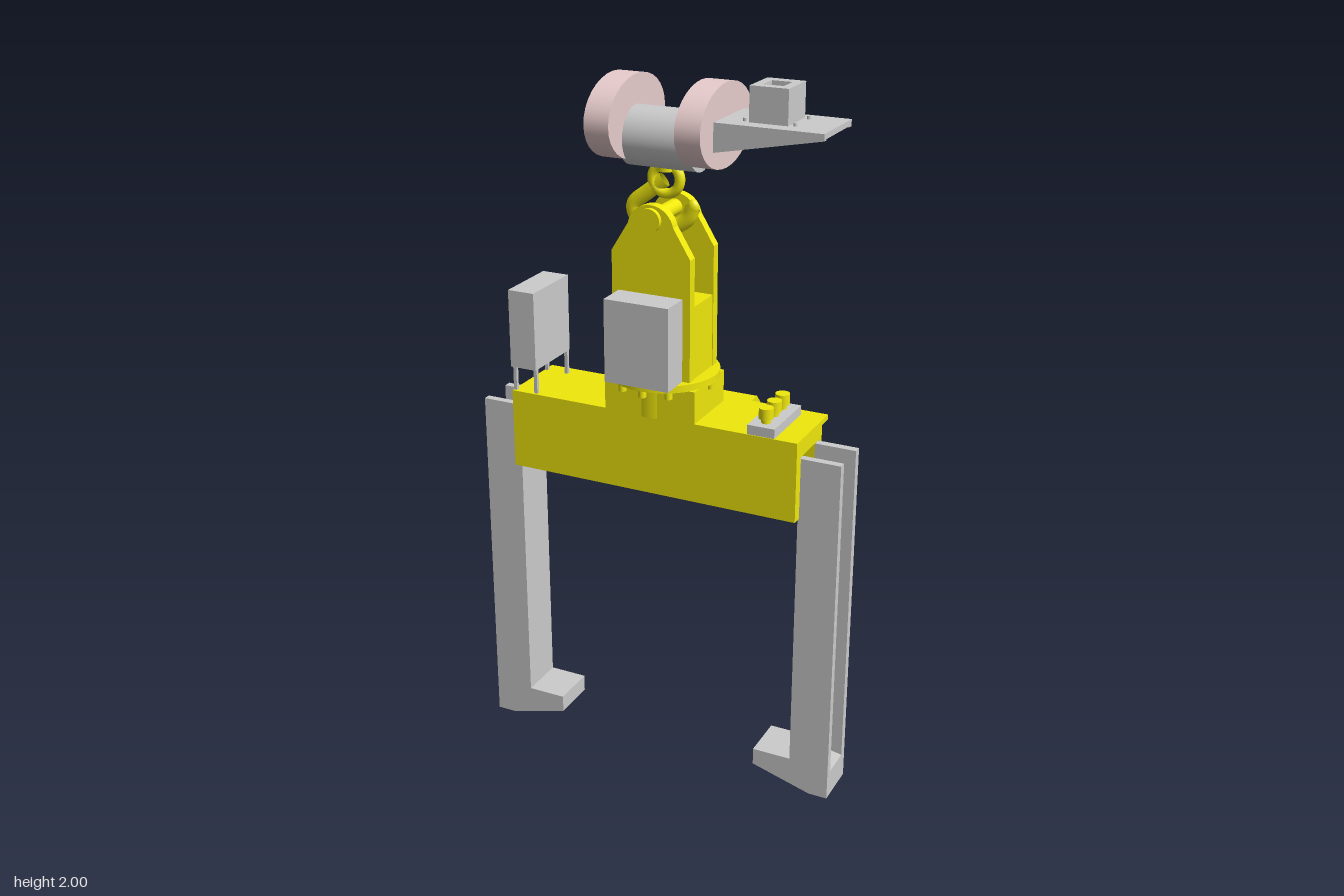
import * as THREE from 'three';

const mat = (color) => new THREE.MeshStandardMaterial({ color, side: THREE.DoubleSide });
const grey = mat(0xcccccc), yellow = mat(0xf0e80c), pink = mat(0xe8cccc), teal = mat(0x00d8e0);

export function createModel() {
  const root = new THREE.Group();

  const add = (name, geo, material, parent = root) => {
    const m = new THREE.Mesh(geo, material);
    m.name = name;
    parent.add(m);
    return m;
  };
  // box given by its extents
  const box = (name, x0, x1, y0, y1, z0, z1, material, parent) => {
    const g = new THREE.BoxGeometry(x1 - x0, y1 - y0, z1 - z0);
    g.translate((x0 + x1) / 2, (y0 + y1) / 2, (z0 + z1) / 2);
    return add(name, g, material, parent);
  };
  // cylinder centred on a point, along an axis
  const cyl = (name, r, len, axis, x, y, z, material, parent) => {
    const g = new THREE.CylinderGeometry(r, r, len, 32);
    if (axis === 'x') g.rotateZ(Math.PI / 2);
    if (axis === 'z') g.rotateX(Math.PI / 2);
    g.translate(x, y, z);
    return add(name, g, material, parent);
  };
  // outline in x, y extruded from z0 to z1
  const slab = (name, shape, z0, z1, material, parent) => {
    const g = new THREE.ExtrudeGeometry(shape, { depth: z1 - z0, bevelEnabled: false, curveSegments: 20 });
    g.translate(0, 0, z0);
    return add(name, g, material, parent);
  };
  const poly = (pts) => new THREE.Shape(pts.map(([x, y]) => new THREE.Vector2(x, y)));

  // Gripping legs: channels open outwards, with a toe turned inwards
  for (const s of [-1, 1]) {
    const leg = new THREE.Group();
    leg.name = s > 0 ? 'leftLeg' : 'rightLeg';
    root.add(leg);
    const mx = (pts) => poly(pts.map(([x, y]) => [s * x, y]));
    slab('toe', mx([[0.545, 0], [0.49, 0], [0.315, 0.05], [0.315, 0.1], [0.43, 0.1], [0.545, 0.08]]), -0.035, 0.1, grey, leg);
    const side = mx([[0.545, 0.05], [0.428, 0.05], [0.428, 1.04], [0.545, 1.04]]);
    slab('legFlange', side, -0.035, -0.012, grey, leg);
    slab('legFlange', side, 0.078, 0.1, grey, leg);
    slab('legWeb', mx([[0.428, 0.05], [0.47, 0.05], [0.47, 0.895], [0.428, 0.895]]), -0.012, 0.078, grey, leg);
  }

  // Cross beam: open below and at the ends, channel-shaped at the back
  const beam = new THREE.Group();
  beam.name = 'crossBeam';
  root.add(beam);
  box('beamFront', -0.432, 0.432, 0.865, 1.095, 0.1, 0.13, yellow, beam);
  box('beamTop', -0.432, 0.432, 1.045, 1.095, -0.035, 0.1, yellow, beam);
  box('beamBackWeb', -0.432, 0.432, 0.865, 1.095, -0.05, -0.035, yellow, beam);
  box('beamBackUpperFlange', -0.432, 0.432, 1.08, 1.095, -0.093, -0.05, yellow, beam);
  box('beamBackLowerFlange', -0.432, 0.432, 0.865, 0.88, -0.093, -0.05, yellow, beam);
  box('beamBackPlate', -0.432, -0.28, 0.88, 1.08, -0.091, -0.05, yellow, beam);

  // Drive housing behind the beam, chamfered along its outer edges
  const housing = new THREE.ExtrudeGeometry(poly([
    [0.05, 0.88], [0.165, 0.88], [0.205, 0.92], [0.205, 1.04], [0.168, 1.08], [0.05, 1.08],
  ]), { depth: 0.26, bevelEnabled: false });
  housing.rotateY(Math.PI / 2); // outline x becomes -z, depth becomes +x
  housing.translate(-0.07, 0, 0);
  add('driveHousing', housing, yellow);

  // Sideways drive motor
  const drive = new THREE.Group();
  drive.name = 'driveMotor';
  root.add(drive);
  const dy = 0.97, dz = -0.138;
  cyl('motorFlange', 0.045, 0.04, 'x', -0.09, dy, dz, teal, drive);
  cyl('motorBody', 0.034, 0.11, 'x', -0.16, dy, dz, teal, drive);
  cyl('motorFanCover', 0.036, 0.022, 'x', -0.224, dy, dz, teal, drive);
  for (let i = 0; i < 16; i++) {
    const fin = box('motorFin', -0.2, -0.11, 0.03, 0.04, -0.002, 0.002, teal, drive);
    fin.position.set(0, dy, dz);
    fin.rotation.x = (i / 16) * Math.PI * 2;
  }
  box('motorTerminalBox', -0.16, -0.115, dy + 0.02, dy + 0.052, dz - 0.022, dz + 0.022, teal, drive);

  // Turret base with a bolted slewing flange
  const cz = 0.033;
  box('turretFrontPlate', -0.135, 0.135, 1.09, 1.187, 0.115, 0.13, yellow);
  box('turretBackPlate', -0.135, 0.135, 1.09, 1.187, -0.06, -0.045, yellow);
  cyl('turretCore', 0.1, 0.1, 'y', 0, 1.14, cz, yellow);
  for (const s of [-1, 1]) box('turretSidePlate', s * 0.128 - 0.007, s * 0.128 + 0.007, 1.09, 1.187, -0.05, 0.12, yellow);
  cyl('slewingFlange', 0.152, 0.02, 'y', 0, 1.196, cz, yellow);
  for (let i = 0; i < 12; i++) {
    const a = (i / 12) * Math.PI * 2;
    cyl('flangeBolt', 0.011, 0.025, 'y', 0.138 * Math.cos(a), 1.178, cz + 0.138 * Math.sin(a), yellow);
  }

  // Yoke: a block with two round-topped cheeks and a pin
  box('yokeBlock', -0.113, 0.113, 1.2, 1.41, -0.05, 0.115, yellow);
  const cheek = new THREE.Shape();
  cheek.moveTo(-0.115, 1.2);
  cheek.lineTo(0.115, 1.2);
  cheek.lineTo(0.115, 1.545);
  cheek.lineTo(0.066, 1.625);
  cheek.absarc(0, 1.612, 0.067, 0.2, Math.PI - 0.2, false);
  cheek.lineTo(-0.115, 1.545);
  slab('yokeCheek', cheek, 0.09, 0.118, yellow);
  slab('yokeCheek', cheek, -0.055, -0.028, yellow);
  cyl('yokePin', 0.022, 0.19, 'z', 0, 1.64, cz, yellow);
  for (const z of [0.12, -0.05]) cyl('pinCap', 0.032, 0.022, 'z', 0, 1.64, z, yellow);
  box('frontCabinet', -0.095, 0.093, 1.205, 1.437, 0.115, 0.205, grey);

  // Lifting hook under the rope drum
  const hookZ = 0.024;
  const path = new THREE.CatmullRomCurve3([
    [-0.005, 1.725], [-0.05, 1.69], [-0.098, 1.645], [-0.08, 1.605], [-0.03, 1.6],
    [0.03, 1.605], [0.065, 1.63], [0.078, 1.66],
  ].map(([x, y]) => new THREE.Vector3(x, y, 0)));
  const hookGeo = new THREE.TubeGeometry(path, 48, 0.021, 12);
  hookGeo.scale(1, 1, 0.6);
  add('hook', hookGeo, yellow).position.z = hookZ;
  const tip = add('hookTip', new THREE.SphereGeometry(0.021, 16, 12), yellow);
  tip.position.set(0.078, 1.66, hookZ);
  tip.scale.set(0.8, 1, 0.6);
  add('hookEye', new THREE.TorusGeometry(0.04, 0.014, 12, 32), yellow).position.set(0, 1.728, hookZ);
  cyl('hookSwivel', 0.026, 0.03, 'y', 0, 1.765, hookZ, yellow);

  // Rope drum between two oval end flanges
  cyl('ropeDrum', 0.079, 0.2, 'x', 0.007, 1.838, cz, grey);
  for (const x of [-0.119, 0.136]) {
    const f = cyl('drumFlange', 1, 0.071, 'x', 0, 0, 0, pink);
    f.scale.set(1, 0.11, 0.162);
    f.position.set(x, 1.885, 0.024);
  }
  cyl('drumBearing', 0.04, 0.012, 'x', -0.155, 1.838, cz, grey);

  // Side bracket with tapered gussets carrying a socket box
  box('bracketPlate', 0.165, 0.467, 1.893, 1.908, -0.082, 0.107, grey);
  const gusset = poly([[0.165, 1.83], [0.467, 1.89], [0.467, 1.9], [0.165, 1.9]]);
  slab('bracketGusset', gusset, -0.082, -0.068, grey);
  slab('bracketGusset', gusset, 0.093, 0.107, grey);
  box('bracketBackPlate', 0.165, 0.178, 1.83, 1.9, -0.068, 0.093, grey);
  box('socketBox', 0.25, 0.355, 1.905, 1.988, -0.047, 0.066, grey);
  const rim = poly([[0.25, -0.047], [0.355, -0.047], [0.355, 0.066], [0.25, 0.066]]);
  rim.holes.push(poly([[0.275, -0.018], [0.275, 0.04], [0.33, 0.04], [0.33, -0.018]]));
  const rimGeo = new THREE.ExtrudeGeometry(rim, { depth: 0.012, bevelEnabled: false });
  rimGeo.rotateX(Math.PI / 2);
  add('socketRim', rimGeo, grey).position.y = 2;
  for (const x of [0.235, 0.37]) for (const z of [-0.035, 0.055]) cyl('bracketBolt', 0.005, 0.01, 'y', x, 1.911, z, grey);

  // Upright cabinet on thin posts at the right end of the beam
  box('endCabinet', -0.435, -0.355, 1.165, 1.39, -0.065, 0.128, grey);
  for (const x of [-0.431, -0.365]) for (const z of [-0.06, 0.113]) box('cabinetPost', x, x + 0.01, 1.09, 1.17, z, z + 0.01, grey);
  box('cabinetHandle', -0.442, -0.434, 1.33, 1.36, -0.02, 0.08, grey);

  // Valve strip at the left end of the beam
  box('valvePlate', 0.288, 0.366, 1.09, 1.122, -0.06, 0.128, grey);
  for (const z of [0.092, 0.036, -0.02]) {
    cyl('valveStem', 0.013, 0.03, 'y', 0.327, 1.13, z, yellow);
    cyl('valveKnob', 0.02, 0.03, 'y', 0.327, 1.15, z, yellow);
  }

  // Upright slewing motor behind the turret
  const slew = new THREE.Group();
  slew.name = 'slewingMotor';
  slew.position.z = -0.094;
  root.add(slew);
  cyl('gearCase', 0.055, 0.075, 'y', 0, 1.2, 0, grey, slew);
  cyl('gearNeck', 0.032, 0.02, 'y', 0, 1.245, 0, grey, slew);
  cyl('motorBody', 0.032, 0.09, 'y', 0, 1.295, 0, grey, slew);
  cyl('motorFanCover', 0.036, 0.025, 'y', 0, 1.352, 0, grey, slew);
  for (let i = 0; i < 16; i++) {
    const fin = box('motorFin', 0.028, 0.039, 1.255, 1.335, -0.002, 0.002, grey, slew);
    fin.rotation.y = (i / 16) * Math.PI * 2;
  }

  return root;
}
